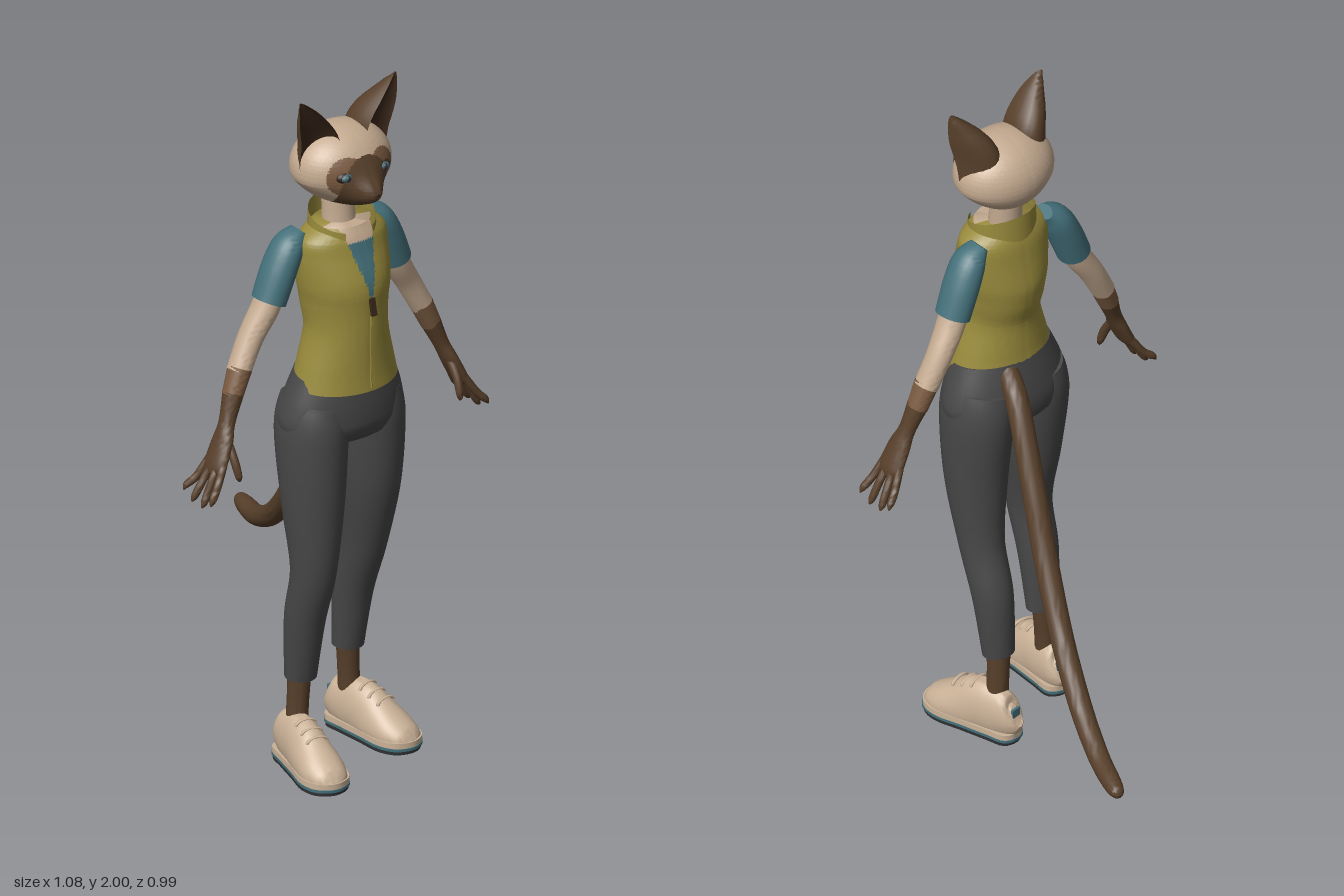
import * as THREE from 'three';
import { toCreasedNormals } from 'three/addons/utils/BufferGeometryUtils.js';

const mat = (name, color) => new THREE.MeshStandardMaterial({ name, color });

// Loft of ellipses along [x, y, z, ra, rb] stations; ra lies along ref, rb across it.
function sweep(pts, { ref = [1, 0, 0], n = 24, steps = 28, front = 1, floor = -1 } = {}) {
  const cr = (a, b, c, d, t) => 0.5 * (2 * b + (c - a) * t + (2 * a - 5 * b + 4 * c - d) * t * t + (3 * b - a - 3 * c + d) * t ** 3);
  const at = (u) => {
    const f = u * (pts.length - 1), i = Math.min(Math.floor(f), pts.length - 2);
    const p = (k) => pts[Math.max(0, Math.min(pts.length - 1, k))];
    return p(i).map((_, c) => cr(p(i - 1)[c], p(i)[c], p(i + 1)[c], p(i + 2)[c], f - i));
  };
  const pos = [], idx = [], r = new THREE.Vector3(...ref).normalize();
  for (let i = 0; i <= steps; i++) {
    const u = i / steps, s = at(u), a = at(Math.max(0, u - 0.01)), b = at(Math.min(1, u + 0.01));
    const t = new THREE.Vector3(b[0] - a[0], b[1] - a[1], b[2] - a[2]).normalize();
    const e = r.clone().addScaledVector(t, -r.dot(t)).normalize(), v = t.clone().cross(e);
    for (let j = 0; j < n; j++) {
      const q = (j / n) * Math.PI * 2, c = Math.cos(q);
      const p = new THREE.Vector3(s[0], s[1], s[2])
        .addScaledVector(e, Math.max(s[3], 0.001) * c * (c > 0 ? front : 1))
        .addScaledVector(v, Math.max(s[4], 0.001) * Math.sin(q));
      pos.push(p.x, Math.max(p.y, floor), p.z);
    }
  }
  for (let i = 0; i < steps; i++) for (let j = 0; j < n; j++) {
    const k = (j + 1) % n, a = i * n, b = a + n;
    idx.push(a + j, a + k, b + k, a + j, b + k, b + j);
  }
  const last = steps * n, m = pos.length / 3;
  pos.push(...pts[0].slice(0, 3), ...pts[pts.length - 1].slice(0, 3));
  for (let j = 0; j < n; j++) {
    const k = (j + 1) % n;
    idx.push(m, k, j, m + 1, last + j, last + k);
  }
  const g = new THREE.BufferGeometry();
  g.setAttribute('position', new THREE.Float32BufferAttribute(pos, 3));
  g.setIndex(idx);
  return toCreasedNormals(g, 1);
}

// Sort triangles into material groups by a rule on their centre.
function paint(g, count, rule) {
  const p = g.attributes.position, sets = Array.from({ length: count }, () => []);
  for (let k = 0; k < p.count; k += 3) {
    const mid = ['getX', 'getY', 'getZ'].map((f) => (p[f](k) + p[f](k + 1) + p[f](k + 2)) / 3);
    sets[rule(...mid, k / 3)].push(k, k + 1, k + 2);
  }
  g.setIndex(sets.flat());
  let start = 0;
  sets.forEach((s, i) => { g.addGroup(start, s.length, i); start += s.length; });
  return g;
}

export function createModel() {
  const model = new THREE.Group();
  const cream = mat('cream fur', 0xc4aa90), brown = mat('brown fur', 0x573f2a), soft = mat('soft brown fur', 0x7a5a40);
  const dark = mat('dark brown', 0x382619), olive = mat('olive vest', 0x988a3c), teal = mat('teal cloth', 0x44707a);
  const grey = mat('grey trousers', 0x474747), shoeMat = mat('shoe fabric', 0xcbb298), rubber = mat('dark rubber', 0x2e2f31);
  olive.side = THREE.DoubleSide;
  const add = (name, geo, m, parent = model) => {
    const mesh = new THREE.Mesh(geo, m);
    mesh.name = name;
    parent.add(mesh);
    return mesh;
  };
  const ball = (name, m, [x, y, z], [a, b, c]) => {
    const o = add(name, new THREE.SphereGeometry(1, 20, 14), m);
    o.position.set(x, y, z);
    o.scale.set(a, b, c);
    return o;
  };

  // Head: egg with a pushed-out muzzle and a painted face mask
  let head = new THREE.SphereGeometry(1, 120, 90);
  const hp = head.attributes.position;
  for (let i = 0; i < hp.count; i++) {
    const nx = hp.getX(i), ny = hp.getY(i), nz = hp.getZ(i);
    const y = ny * 0.113, z = nz * 0.148 * (ny < -0.2 ? 1 + (ny + 0.2) * 0.3 : 1);
    const bump = 0.06 * Math.exp(-0.5 * (((y + 0.058) / 0.036) ** 2 + (z / 0.036) ** 2));
    hp.setXYZ(i, 0.345 + nx * 0.12 + bump * THREE.MathUtils.smoothstep(nx, 0, 0.5), 1.774 + y, z);
  }
  head = toCreasedNormals(head, 1.2);
  add('head', paint(head, 3, (x, y, z) => {
    const a = Math.abs(z);
    if (x < 0.37) return 0;
    if ((a / 0.078) ** 2 + ((y - 1.735) / 0.092) ** 2 < 1) return 1;
    return ((a - 0.055) / 0.055) ** 2 + ((y - 1.775) / 0.055) ** 2 < 1 ? 2 : 0;
  }), [cream, brown, soft]);
  ball('nose', dark, [0.5, 1.728, 0], [0.012, 0.009, 0.014]);
  add('neck', sweep([[0.35, 1.5, 0, 0.05, 0.06], [0.338, 1.6, 0, 0.045, 0.047], [0.33, 1.72, 0, 0.045, 0.045]]), cream);

  for (const s of [1, -1]) {
    // Eyes and cupped ears
    ball('eyeRim', dark, [0.443, 1.778, s * 0.063], [0.017, 0.017, 0.027]);
    ball('eye', teal, [0.449, 1.778, s * 0.063], [0.016, 0.013, 0.02]);
    ball('pupil', rubber, [0.459, 1.778, s * 0.063], [0.008, 0.01, 0.007]);
    const ear = sweep([[0.375, 1.79, s * 0.095, 0.1, 0.055], [0.385, 1.86, s * 0.1, 0.1, 0.055], [0.39, 1.93, s * 0.13, 0.07, 0.038],
      [0.385, 1.98, s * 0.153, 0.03, 0.016], [0.378, 2, s * 0.163, 0.003, 0.003]], { ref: [1, 0, 0.35 * s], front: -0.3 });
    add('ear', paint(ear, 2, (x, y, z, k) => {
      const j = Math.floor((k % 48) / 2);
      return j < 6 || j >= 18 ? 1 : 0;
    }), [brown, dark]);
  }

  // Vest with an open neck showing the shirt and chest
  const vest = sweep([[0.3625, 1.14, 0, 0.118, 0.156], [0.365, 1.2, 0, 0.112, 0.141], [0.368, 1.3, 0, 0.11, 0.117],
    [0.36, 1.38, 0, 0.12, 0.122], [0.357, 1.44, 0, 0.121, 0.132], [0.35, 1.52, 0, 0.1, 0.138],
    [0.348, 1.57, 0, 0.087, 0.132], [0.348, 1.605, 0, 0.07, 0.085]], { n: 96, steps: 70 });
  add('vest', paint(vest, 3, (x, y, z) => {
    if (x < 0.36 || y < 1.4 || Math.abs(z) > (y - 1.4) * 0.26) return 0;
    return y > 1.565 ? 2 : 1;
  }), [olive, teal, cream]);
  const collar = new THREE.CylinderGeometry(0.095, 0.1, 0.09, 40, 4, true, Math.PI / 2 + 0.5, Math.PI * 2 - 1);
  const cp = collar.attributes.position;
  for (let i = 0; i < cp.count; i++) {
    const x = cp.getX(i) * 0.9;
    cp.setXYZ(i, x + 0.352, cp.getY(i) + 1.578 - x * 0.35, cp.getZ(i));
  }
  collar.computeVertexNormals();
  add('collar', collar, olive);
  // Zip
  const pull = add('zipPull', new THREE.BoxGeometry(0.009, 0.05, 0.016), dark);
  pull.position.set(0.487, 1.388, 0);
  pull.rotation.z = 0.2;
  add('zipLine', sweep([[0.48, 1.145, 0, 0.003, 0.003], [0.4765, 1.2, 0, 0.003, 0.003], [0.478, 1.3, 0, 0.003, 0.003],
    [0.48, 1.4, 0, 0.003, 0.003]], { n: 6 }), olive);

  // Hips
  add('hips', sweep([[0.358, 1.17, 0, 0.108, 0.15], [0.35, 1.09, 0, 0.12, 0.182], [0.344, 1.03, 0, 0.122, 0.193],
    [0.344, 0.985, 0, 0.105, 0.165], [0.344, 0.97, 0, 0.06, 0.1]], { n: 40 }), grey);

  // Foot outline at a given scale, as a flat slab with its top at y
  const slab = (k, y, h) => {
    const half = [[-0.075, 0], [-0.06, 0.036], [0, 0.046], [0.08, 0.056], [0.16, 0.066], [0.21, 0.048], [0.232, 0]];
    const line = [...half, ...half.slice(1, -1).reverse().map(([x, z]) => [x, -z])].map(([x, z]) => new THREE.Vector2(0.08 + (x - 0.08) * k, z * k));
    const curve = new THREE.CatmullRomCurve3(line.map((p) => new THREE.Vector3(p.x, p.y, 0)), true);
    const shape = new THREE.Shape(curve.getPoints(48).slice(0, -1).map((p) => new THREE.Vector2(p.x, p.y)));
    const g = new THREE.ExtrudeGeometry(shape, { depth: h, bevelEnabled: false });
    return toCreasedNormals(g.rotateX(Math.PI / 2).translate(0, y, 0), 0.7);
  };

  for (const s of [1, -1]) {
    // Legs: the right one steps slightly forward
    const xs = s > 0 ? [0.345, 0.346, 0.36, 0.372, 0.337, 0.315] : [0.342, 0.338, 0.335, 0.305, 0.255, 0.235];
    const rows = [[1.09, 0.088, 0.105, 0.085], [1, 0.1, 0.113, 0.093], [0.8, 0.106, 0.094, 0.083], [0.6, 0.113, 0.067, 0.062],
      [0.44, 0.115, 0.058, 0.056], [0.26, 0.112, 0.042, 0.046]];
    add('trouserLeg', sweep(rows.map(([y, z, a, b], i) => [xs[i], y, s * z, a, b]).reverse(), { n: 32, steps: 40 }), grey);
    const ax = xs[5] - 0.005;
    add('ankle', sweep([[ax, 0.1, s * 0.122, 0.033, 0.032], [ax, 0.18, s * 0.118, 0.031, 0.03], [ax + 0.003, 0.3, s * 0.112, 0.033, 0.034]]), brown);

    // Shoes
    const shoe = new THREE.Group();
    shoe.name = 'shoe';
    shoe.position.set(ax, 0, s * 0.127);
    shoe.rotation.y = -s * 0.17;
    model.add(shoe);
    add('upper', sweep([[-0.072, 0.09, 0, 0.03, 0.016], [-0.058, 0.085, 0, 0.062, 0.036], [0, 0.075, 0, 0.083, 0.046], [0.05, 0.07, 0, 0.085, 0.052],
      [0.1, 0.052, 0, 0.075, 0.059], [0.16, 0.037, 0, 0.055, 0.063], [0.21, 0.027, 0, 0.034, 0.046], [0.23, 0.026, 0, 0.01, 0.016]],
    { ref: [0, 1, 0], floor: 0.02, n: 32 }), shoeMat, shoe);
    add('midsole', slab(1.02, 0.035, 0.024), shoeMat, shoe);
    add('soleStripe', slab(1.035, 0.019, 0.008), teal, shoe);
    add('outsole', slab(1, 0.013, 0.013), rubber, shoe);
    const heel = add('heelTab', new THREE.BoxGeometry(0.008, 0.05, 0.03), teal, shoe);
    heel.position.set(-0.07, 0.085, 0);
    for (let i = 0; i < 3; i++) {
      const x = 0.06 + i * 0.032;
      const lace = add('lace', new THREE.TorusGeometry(0.03, 0.005, 6, 14, Math.PI), shoeMat, shoe);
      lace.scale.y = 0.5;
      lace.rotation.y = Math.PI / 2;
      lace.position.set(x, 0.14 - i * 0.013, 0);
    }

    // Arms: the left one hangs slightly further back
    const P = (x, y, z, a, b) => [x - (s < 0 ? 0.13 * Math.max(0, z - 0.15) : 0), y, s * z, a, b];
    add('sleeve', sweep([P(0.31, 1.585, 0.115, 0.03, 0.02), P(0.31, 1.55, 0.15, 0.05, 0.04), P(0.31, 1.49, 0.182, 0.055, 0.046),
      P(0.31, 1.405, 0.217, 0.052, 0.046)]), teal);
    add('arm', sweep([P(0.31, 1.47, 0.19, 0.04, 0.035), P(0.307, 1.39, 0.225, 0.042, 0.037), P(0.304, 1.31, 0.275, 0.038, 0.034),
      P(0.312, 1.225, 0.322, 0.036, 0.032)]), cream);
    add('cuffFur', sweep([P(0.312, 1.235, 0.317, 0.036, 0.032), P(0.32, 1.165, 0.349, 0.031, 0.028)]), soft);
    add('forearm', sweep([P(0.32, 1.17, 0.347, 0.031, 0.028), P(0.332, 1.1, 0.377, 0.025, 0.021), P(0.341, 1.05, 0.4, 0.037, 0.02),
      P(0.347, 0.99, 0.43, 0.042, 0.017), P(0.348, 0.97, 0.44, 0.025, 0.01)]), brown);
    [[-0.033, -0.058, 0.915], [-0.011, -0.022, 0.893], [0.011, 0.022, 0.89], [0.031, 0.06, 0.908]].forEach(([a, b, y], i) =>
      add('finger' + (i + 1), sweep([P(0.347 + a, 1, 0.425, 0.011, 0.011), P(0.347 + (a + b) / 2, 0.95, 0.457, 0.011, 0.011),
        P(0.347 + b * 0.95, y + 0.015, 0.482, 0.01, 0.01), P(0.347 + b, y, 0.492, 0.002, 0.002)], { n: 10, steps: 12 }), brown));
    add('thumb', sweep([P(0.35, 1.06, 0.393, 0.013, 0.013), P(0.383, 1.01, 0.393, 0.013, 0.012), P(0.4, 0.965, 0.39, 0.01, 0.01),
      P(0.402, 0.95, 0.389, 0.002, 0.002)], { n: 10, steps: 12 }), brown);
  }

  // Tail
  const tail = [[0.27, 1.15, 0.03], [0.195, 1.09, 0.032], [0.09, 0.905, 0.033], [0, 0.73, 0.033], [-0.12, 0.55, 0.032], [-0.255, 0.42, 0.031],
    [-0.385, 0.35, 0.029], [-0.48, 0.334, 0.026], [-0.525, 0.332, 0.018], [-0.538, 0.333, 0.003]];
  add('tail', sweep(tail.map(([x, y, r]) => [x, y, -0.148 + 0.37 * x, r, r]), { ref: [0, 0, 1], steps: 60 }), brown);
  return model;
}
